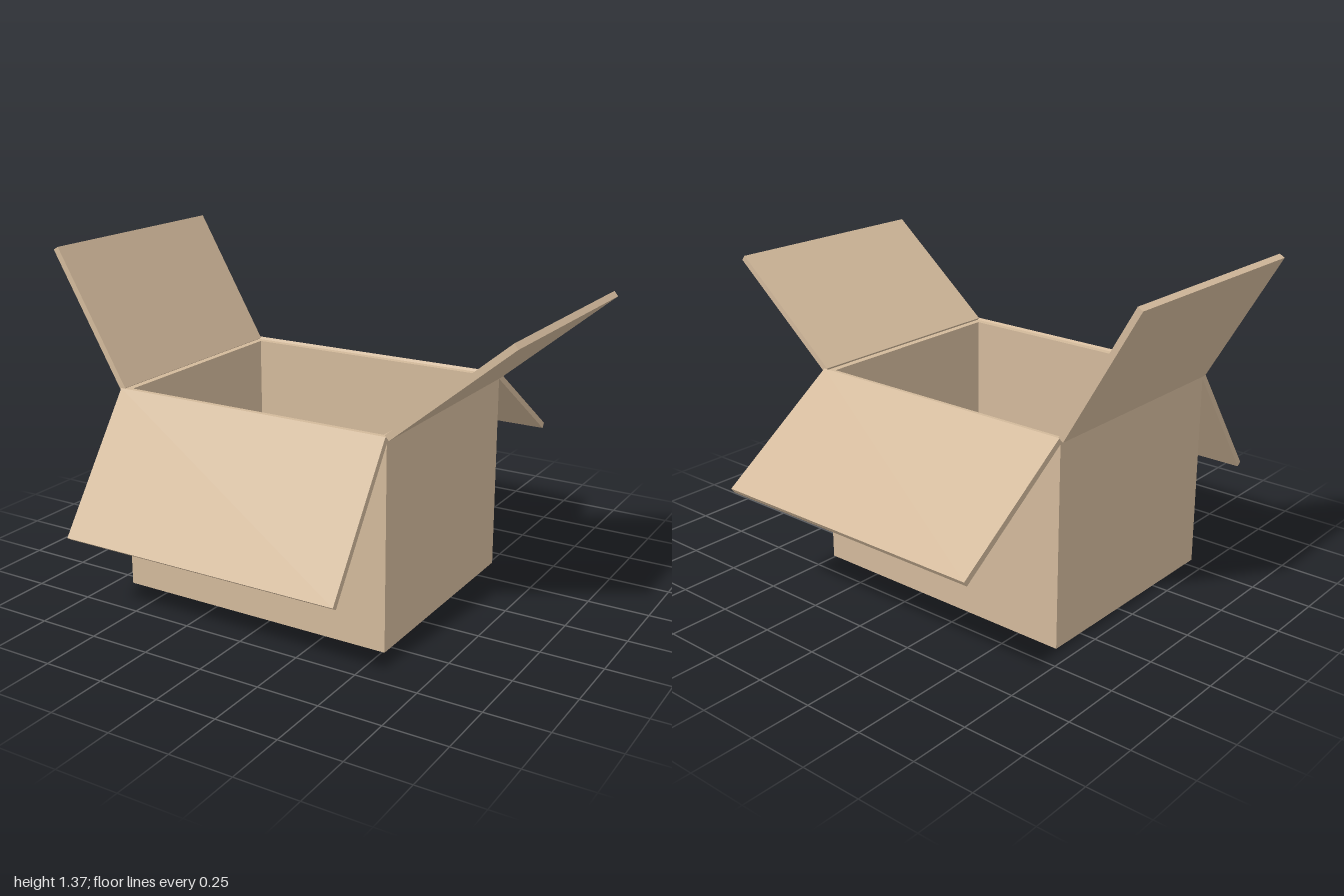
import * as THREE from 'three';

const X0 = -0.68, X1 = 0.51, Z0 = -0.40, Z1 = 0.55; // outer footprint
const HEIGHT = 0.835, WALL = 0.028, FLAP = 0.025;
const W = X1 - X0, D = Z1 - Z0, CX = (X0 + X1) / 2, CZ = (Z0 + Z1) / 2;

const rectangle = (path, w, d) => path
  .moveTo(-w / 2, -d / 2).lineTo(w / 2, -d / 2)
  .lineTo(w / 2, d / 2).lineTo(-w / 2, d / 2).closePath();

export function createModel() {
  const model = new THREE.Group();
  model.name = 'openCarton';
  const cardboard = new THREE.MeshStandardMaterial({ color: 0xd2b99b });
  cardboard.name = 'cardboard';

  const add = (name, geometry, x, y, z, parent = model) => {
    const mesh = new THREE.Mesh(geometry, cardboard);
    mesh.name = name;
    mesh.position.set(x, y, z);
    parent.add(mesh);
    return mesh;
  };

  // Four walls as one hollow sleeve
  const outline = new THREE.Shape();
  rectangle(outline, W, D);
  const hole = new THREE.Path();
  rectangle(hole, W - 2 * WALL, D - 2 * WALL);
  outline.holes.push(hole);
  const sleeve = new THREE.ExtrudeGeometry(outline, { depth: HEIGHT, bevelEnabled: false });
  sleeve.rotateX(-Math.PI / 2);
  add('walls', sleeve, CX, 0, CZ);

  // Floor inside the sleeve
  add('floor', new THREE.BoxGeometry(W - 2 * WALL, WALL, D - 2 * WALL), CX, WALL / 2, CZ);

  // Flat patch on the front wall
  add('frontPatch', new THREE.BoxGeometry(0.3, 0.25, 0.009), CX, 0.415, Z1 + 0.0045);

  // Flaps: each swings on its top edge; yaw aims it outward, pitch is the rise in degrees
  const flaps = [
    ['rightFlap', X0, CZ, Math.PI, 60, 0.615, D],
    ['leftFlap', X1, CZ, 0, 39.7, 0.615, D],
    ['frontFlap', CX, Z1, -Math.PI / 2, -55, 0.622, W],
    ['backFlap', CX, Z0, Math.PI / 2, -35, 0.624, W],
  ];
  for (const [name, x, z, yaw, pitch, length, width] of flaps) {
    const hinge = new THREE.Group();
    hinge.name = name + 'Hinge';
    hinge.position.set(x, HEIGHT, z);
    hinge.rotation.set(0, yaw, THREE.MathUtils.degToRad(pitch), 'YXZ');
    add(name, new THREE.BoxGeometry(length, FLAP, width), length / 2, 0, 0, hinge);
    model.add(hinge);
  }
  return model;
}
